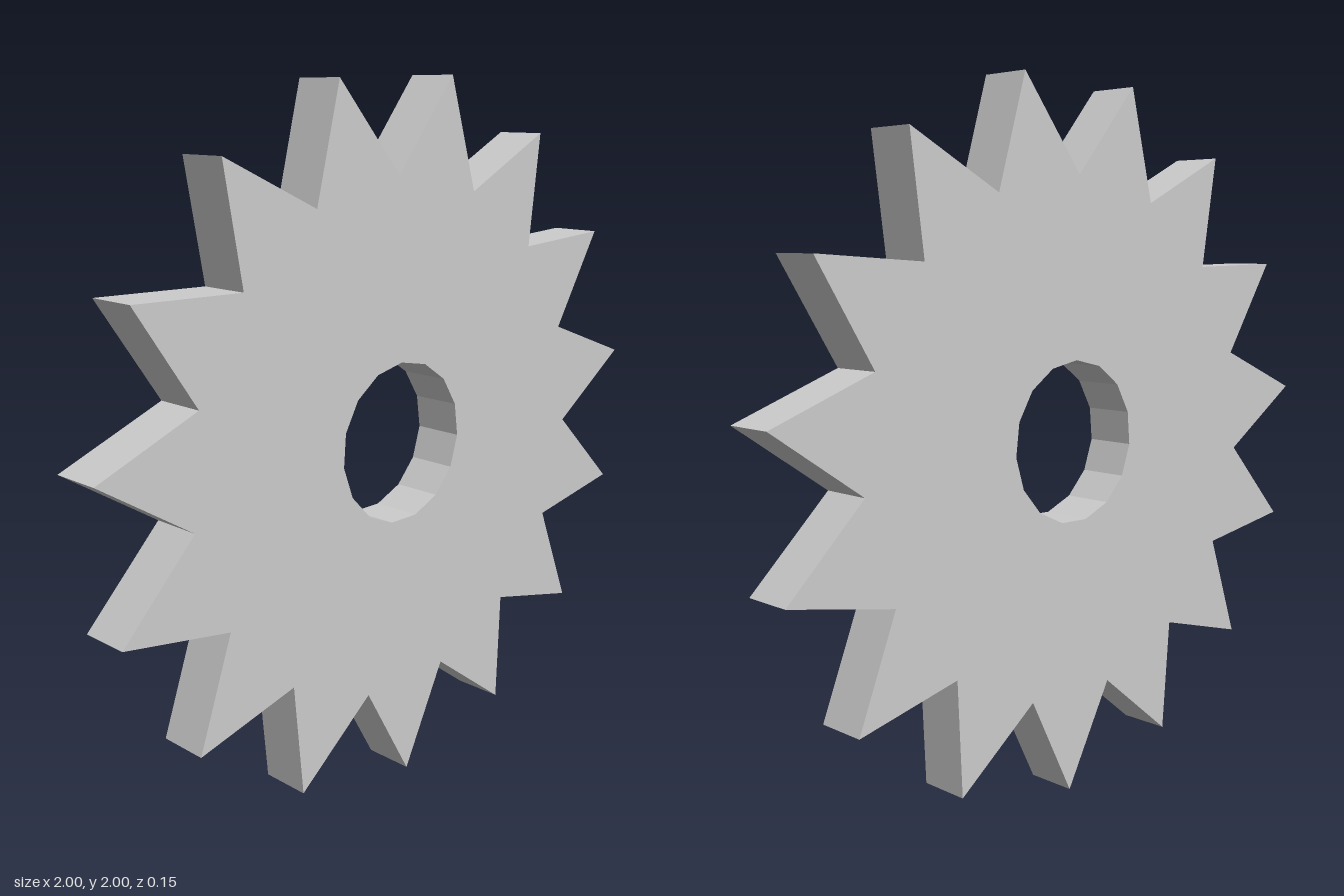
import * as THREE from 'three';

const TEETH = 15;
const STEP = (Math.PI * 2) / TEETH;
const START = THREE.MathUtils.degToRad(-88.8); // angle of the lowest tooth tip
const TIP_RADIUS = 1.007;
const ROOT_RADIUS = 0.732;
const BORE_RADIUS = 0.228;
const THICKNESS = 0.15;

const polar = (r, a) => new THREE.Vector2(r * Math.cos(a), r * Math.sin(a));

export function createModel() {
  const group = new THREE.Group();
  group.name = 'toothedWheel';

  // Toothed outline, and a faceted bore with one corner per tooth root
  const outline = [];
  const bore = [];
  for (let i = 0; i < TEETH; i++) {
    const tip = START + i * STEP;
    const root = tip + STEP / 2;
    outline.push(polar(TIP_RADIUS, tip), polar(ROOT_RADIUS, root));
    bore.push(polar(BORE_RADIUS, root));
  }
  const shape = new THREE.Shape(outline);
  shape.holes.push(new THREE.Path(bore));

  // Flat disc, centred in depth and standing on its lowest tip
  const geometry = new THREE.ExtrudeGeometry(shape, { depth: THICKNESS, bevelEnabled: false });
  geometry.translate(0, TIP_RADIUS, -THICKNESS / 2);

  const material = new THREE.MeshStandardMaterial({ color: 0xcccccc, flatShading: true });
  const disc = new THREE.Mesh(geometry, material);
  disc.name = 'toothedDisc';
  group.add(disc);
  return group;
}
